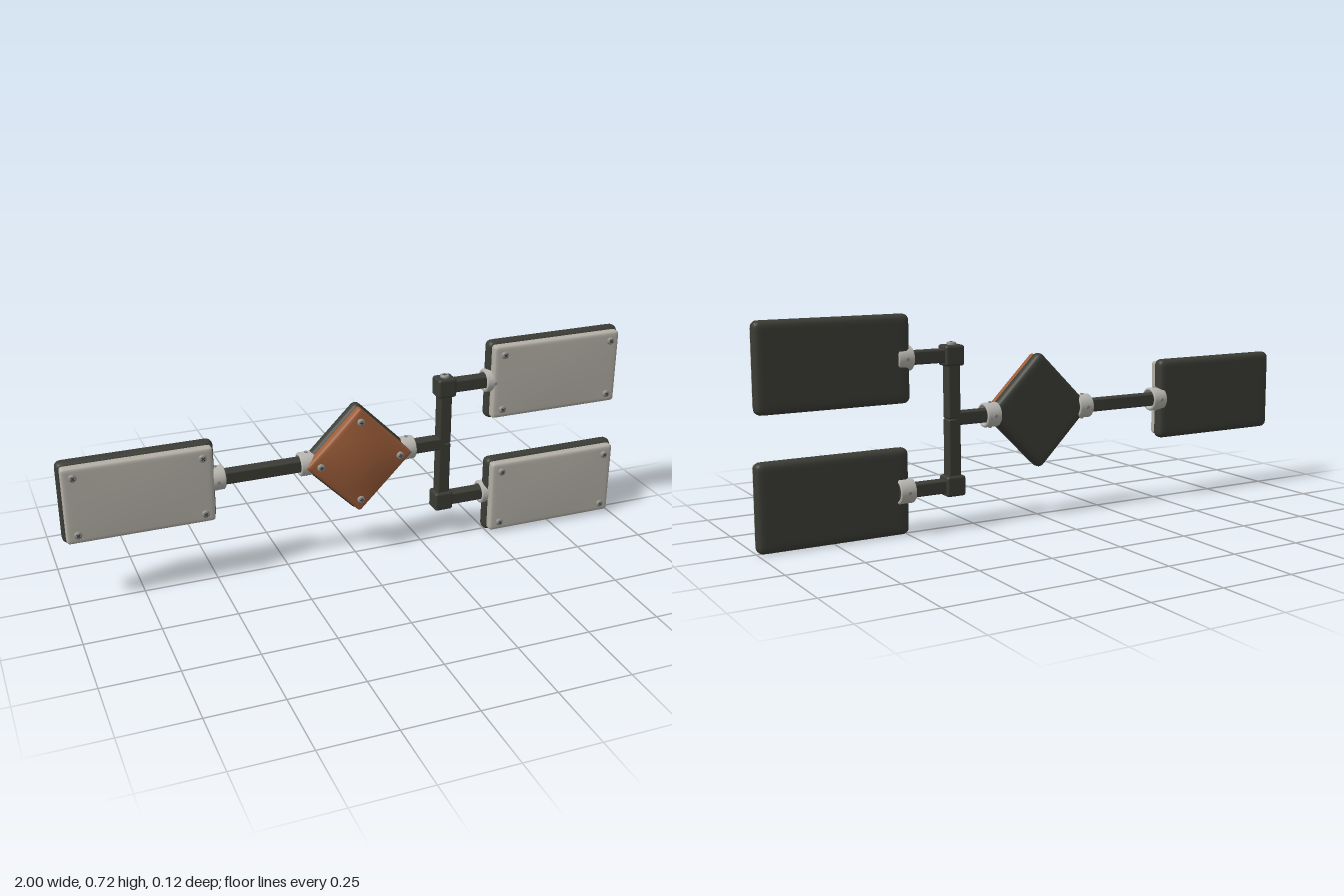
import * as THREE from 'three';
import { mergeVertices } from 'three/addons/utils/BufferGeometryUtils.js';
import { RoundedBoxGeometry } from 'three/addons/geometries/RoundedBoxGeometry.js';

const mat = (name, color) => new THREE.MeshStandardMaterial({ name, color });
const dark = mat('dark casing', 0x3b3c35);
const grey = mat('grey plate', 0xb3afa6);
const copper = mat('copper plate', 0x9c5d39);
const metal = mat('light metal', 0xb8b7b1);
const steel = mat('screw steel', 0x8f908d);

const AXIS_Z = -0.015; // depth of the rods' centre line

function add(parent, name, geometry, material, x = 0, y = 0, z = 0) {
  const m = new THREE.Mesh(geometry, material);
  m.name = name;
  m.position.set(x, y, z);
  parent.add(m);
  return m;
}

const swell = (x, y, w, h) => (1 - (2 * x / w) ** 2) * (1 - (2 * y / h) ** 2);

// Rounded box whose front face swells outward
function pillow(w, h, d, r, bulge) {
  const g = new THREE.BoxGeometry(2, 2, 2, 24, 24, 10);
  g.deleteAttribute('uv');
  g.deleteAttribute('normal');
  const merged = mergeVertices(g);
  const pos = merged.attributes.position;
  const half = new THREE.Vector3(w / 2, h / 2, d / 2);
  const core = half.clone().subScalar(r);
  const low = core.clone().negate();
  const ease = (u) => Math.sign(u) * (1 - (1 - Math.abs(u)) ** 2);
  const p = new THREE.Vector3();
  for (let i = 0; i < pos.count; i++) {
    p.fromBufferAttribute(pos, i);
    p.set(ease(p.x), ease(p.y), ease(p.z)).multiply(half);
    const inner = p.clone().clamp(low, core);
    p.sub(inner).setLength(r).add(inner);
    if (p.z > 0) p.z += bulge * swell(p.x, p.y, w, h);
    pos.setXYZ(i, p.x, p.y, p.z);
  }
  merged.computeVertexNormals();
  return merged;
}

// Round-headed screw with a recessed-looking cross slot, facing +z
function screw(parent, x, y, z, r = 0.013) {
  const g = new THREE.Group();
  g.name = 'screw';
  g.position.set(x, y, z);
  parent.add(g);
  const profile = [[0, 0.009], [0.7, 0.009], [0.93, 0.007], [1, 0.004], [1, -0.006]]
    .map(([a, b]) => new THREE.Vector2(a * r, b)).reverse();
  add(g, 'screwHead', new THREE.LatheGeometry(profile, 20), steel).rotation.x = Math.PI / 2;
  for (const a of [0, Math.PI / 2]) {
    add(g, 'screwSlot', new THREE.BoxGeometry(r * 1.1, r * 0.25, 0.001), dark, 0, 0, 0.009)
      .rotation.z = a + Math.PI / 4;
  }
  return g;
}

// Dark casing with a raised front plate and a screw near each corner
function panel(root, name, o) {
  const g = new THREE.Group();
  g.name = name;
  g.position.set(o.x, o.y, o.z);
  g.rotation.z = o.turn || 0;
  root.add(g);
  add(g, 'casing', pillow(o.w, o.h, 0.048, 0.021, 0), dark, 0, 0, -0.024);
  const w = o.w - o.rim, h = o.h - o.rim;
  add(g, 'facePlate', pillow(w, h, 0.036, 0.011, o.bulge), o.face, 0, 0, o.front - 0.018);
  for (const sx of [-1, 1]) {
    for (const sy of [-1, 1]) {
      const x = sx * o.screwX, y = sy * o.screwY;
      screw(g, x, y, o.front + o.bulge * swell(x, y, w, h));
    }
  }
}

// Square rod between two points on the frame
function rod(root, name, x0, y0, x1, y1) {
  const t = 0.044;
  const geo = new RoundedBoxGeometry(Math.abs(x1 - x0) || t, Math.abs(y1 - y0) || t, t, 2, 0.006);
  add(root, name, geo, dark, (x0 + x1) / 2, (y0 + y1) / 2, AXIS_Z);
}

// Hollow sleeve around a rod, with four little set screws
function collar(root, x, y, len) {
  const g = new THREE.Group();
  g.name = 'collar';
  g.position.set(x, y, AXIS_Z);
  g.rotation.z = -Math.PI / 2;
  root.add(g);
  const e = len / 2, c = 0.004;
  const ring = [[0.032, -e], [0.037, -e], [0.041, c - e], [0.041, e - c], [0.037, e], [0.032, e], [0.032, -e]]
    .map(([a, b]) => new THREE.Vector2(a, b));
  add(g, 'sleeve', new THREE.LatheGeometry(ring, 36), metal);
  for (let i = 0; i < 4; i++) {
    const a = i * Math.PI / 2;
    const s = add(g, 'setScrew', new THREE.CylinderGeometry(0.006, 0.006, 0.006, 12), steel,
      Math.sin(a) * 0.041, 0, Math.cos(a) * 0.041);
    s.rotation.set(Math.PI / 2, 0, -a, 'YXZ');
    s.rotation.y = a;
    s.rotation.z = 0;
  }
}

export function createModel() {
  const root = new THREE.Group();
  root.name = 'panelArray';

  // Three rectangular panels
  const flat = { w: 0.508, h: 0.285, rim: 0.02, bulge: 0.004, front: 0.025, face: grey, screwX: 0.208, screwY: 0.1 };
  panel(root, 'rightPanel', { ...flat, x: -0.746, y: 0.366, z: 0.006 });
  panel(root, 'upperLeftPanel', { ...flat, x: 0.746, y: 0.575, z: 0.001 });
  panel(root, 'lowerLeftPanel', { ...flat, x: 0.746, y: 0.1435, z: 0.023 });

  // Diamond hub
  panel(root, 'diamondHub', {
    x: 0.006, y: 0.367, z: 0.008, turn: Math.PI / 4, w: 0.287, h: 0.287, rim: 0.014,
    bulge: 0.016, front: 0.025, face: copper, screwX: 0.101, screwY: 0.101,
  });

  // Connecting rods
  const X = 0.333, Y = 0.367, TOP = 0.575, LOW = 0.145;
  rod(root, 'rightArm', -0.55, Y, -0.12, Y);
  rod(root, 'leftArm', 0.13, Y, X, Y);
  rod(root, 'upperPost', X, Y, X, TOP);
  rod(root, 'lowerPost', X, LOW, X, Y);
  for (const y of [TOP, LOW]) {
    rod(root, 'branch', X, y, 0.53, y);
    add(root, 'elbow', new RoundedBoxGeometry(0.068, 0.068, 0.062, 3, 0.009), dark, X, y, AXIS_Z);
    collar(root, 0.508, y, 0.055);
  }
  screw(root, X, TOP + 0.034, AXIS_Z, 0.016).rotation.x = -Math.PI / 2;

  // Collars on the main axis
  collar(root, -0.487, Y, 0.055);
  collar(root, -0.172, Y, 0.055);
  collar(root, 0.192, Y, 0.053);

  return root;
}
